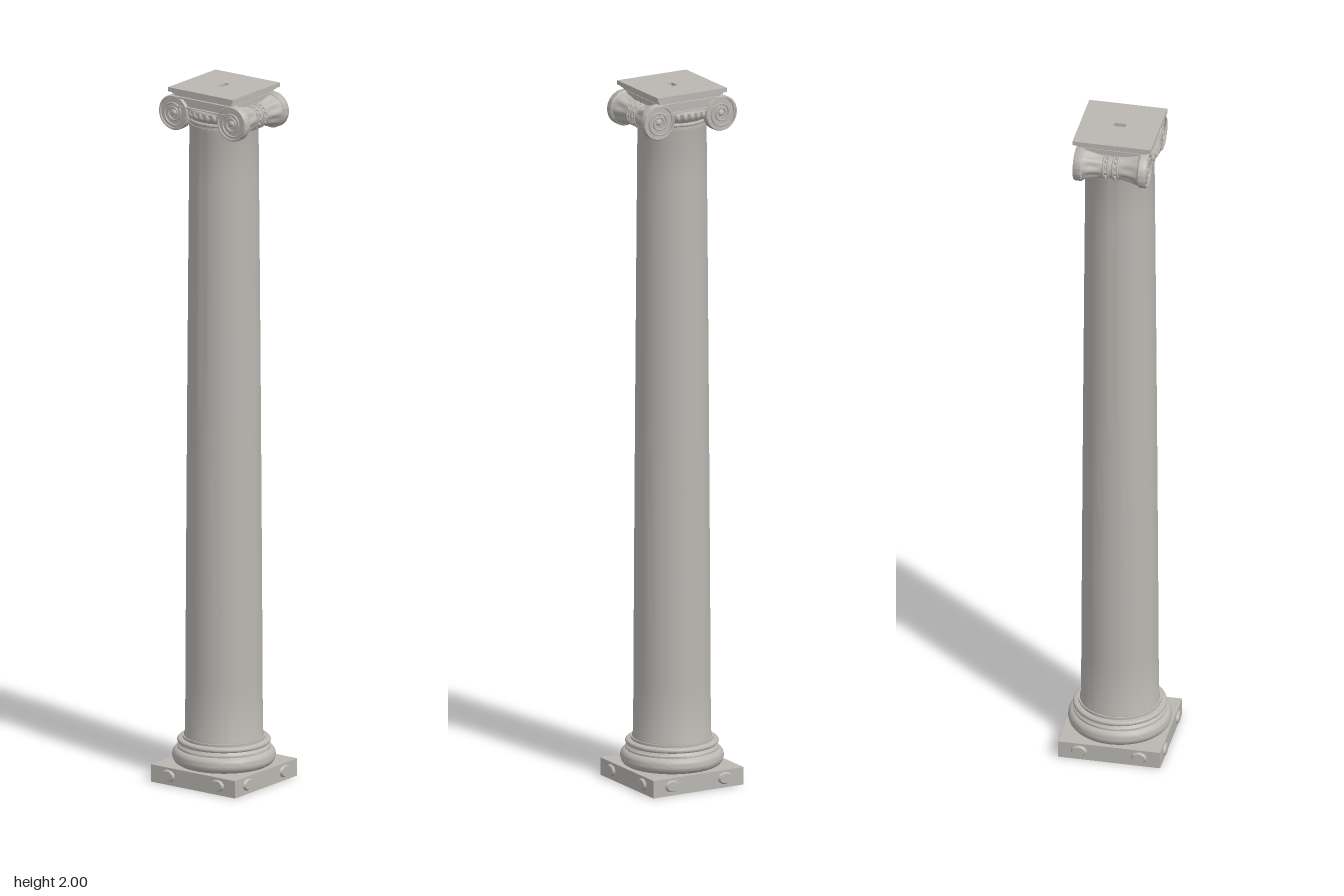
import * as THREE from 'three';
import { toCreasedNormals } from 'three/addons/utils/BufferGeometryUtils.js';

const stone = new THREE.MeshStandardMaterial({ color: 0xbab7b2 });
stone.name = 'stone';

function add(parent, name, geometry, x = 0, y = 0, z = 0) {
  const mesh = new THREE.Mesh(geometry, stone);
  mesh.name = name;
  mesh.position.set(x, y, z);
  parent.add(mesh);
  return mesh;
}

// Turned profile given as [radius, height] pairs, sharp at hard corners
function turned(points, segments = 64) {
  const profile = points.map(([r, h]) => new THREE.Vector2(r, h));
  return toCreasedNormals(new THREE.LatheGeometry(profile, segments), 0.6);
}

// Points of a half-round moulding bulging out to radius r
function torusArc(r, low, high, bulge) {
  const mid = (low + high) / 2, half = (high - low) / 2, points = [];
  for (let i = 0; i <= 10; i++) {
    const a = -Math.PI / 2 + Math.PI * i / 10;
    points.push([r - bulge + Math.cos(a) * bulge, mid + Math.sin(a) * half]);
  }
  return points;
}

function createBase() {
  const base = new THREE.Group();
  base.name = 'base';
  add(base, 'plinth', new THREE.BoxGeometry(0.29, 0.05, 0.29), 0, 0.025);
  add(base, 'baseMouldings', turned([
    [0.001, 0.05], ...torusArc(0.144, 0.05, 0.095, 0.018),
    [0.13, 0.095], [0.13, 0.1], [0.124, 0.104], [0.122, 0.108],
    ...torusArc(0.13, 0.108, 0.122, 0.007), [0.115, 0.122], [0.115, 0.129], [0.001, 0.129],
  ]));
  // Two lifting bosses on each side of the plinth
  for (let side = 0; side < 4; side++) {
    const face = new THREE.Group();
    face.name = 'plinthSide';
    face.rotation.y = side * Math.PI / 2;
    base.add(face);
    for (const x of [-0.085, 0.085]) {
      const boss = add(face, 'boss', new THREE.CylinderGeometry(0.018, 0.023, 0.007, 24), x, 0.027, 0.148);
      boss.rotation.x = Math.PI / 2;
      boss.scale.z = 0.75;
    }
  }
  return base;
}

// Side roll pinched between its two scroll faces, carved with leaves
function bolsterGeometry() {
  const points = [];
  for (let i = 0; i <= 40; i++) {
    const z = -0.082 + 0.164 * i / 40;
    const t = Math.min(1, Math.max(0, (Math.abs(z) - 0.02) / 0.062));
    points.push(new THREE.Vector2(0.033 + 0.014 * t * t, z));
  }
  const geometry = new THREE.LatheGeometry(points, 64);
  const p = geometry.attributes.position;
  for (let i = 0; i < p.count; i++) {
    const t = (Math.abs(p.getY(i)) - 0.02) / 0.062;
    if (t <= 0 || t >= 1) continue;
    const angle = Math.atan2(p.getZ(i), p.getX(i));
    const k = 1 + 0.06 * Math.sin(Math.PI * t) * Math.cos(angle * 8);
    p.setX(i, p.getX(i) * k);
    p.setZ(i, p.getZ(i) * k);
  }
  geometry.computeVertexNormals();
  return geometry;
}

// Raised fillet winding inward to the eye
function spiralGeometry() {
  const points = [];
  for (let i = 0; i <= 72; i++) {
    const t = i / 72, a = Math.PI / 2 - t * Math.PI * 5;
    const r = 0.047 * Math.pow(0.25, t);
    points.push(new THREE.Vector3(r * Math.cos(a), r * Math.sin(a), 0));
  }
  return new THREE.TubeGeometry(new THREE.CatmullRomCurve3(points), 144, 0.0028, 6);
}

function createVolute() {
  const volute = new THREE.Group();
  volute.name = 'volute';
  add(volute, 'bolster', bolsterGeometry()).rotation.x = Math.PI / 2;
  // Bands round the middle of the roll
  for (const z of [-0.02, -0.007, 0.007, 0.02]) add(volute, 'belt', new THREE.TorusGeometry(0.033, 0.0035, 8, 48), 0, 0, z);
  // Beads between the bands
  for (let i = 0; i < 14; i++) {
    const a = i / 14 * Math.PI * 2;
    for (const z of [-0.0135, 0.0135])
      add(volute, 'bead', new THREE.SphereGeometry(0.0042, 8, 6), 0.034 * Math.cos(a), 0.034 * Math.sin(a), z);
  }
  const rim = turned([[0.001, 0.078], [0.046, 0.078], [0.05, 0.082], [0.05, 0.1], [0.048, 0.103], [0.044, 0.103], [0.044, 0.098], [0.001, 0.098]], 48);
  for (const back of [0, 1]) {
    const face = new THREE.Group();
    face.name = 'scrollFace';
    face.rotation.y = back * Math.PI;
    volute.add(face);
    add(face, 'scrollDisc', rim).rotation.x = Math.PI / 2;
    // Mirrored by the half turn, so the scroll still winds outward
    add(face, 'spiral', spiralGeometry(), 0, 0, 0.1);
    add(face, 'eye', new THREE.SphereGeometry(0.009, 16, 10), 0, 0, 0.099).scale.z = 0.6;
  }
  return volute;
}

function createCapital() {
  const capital = new THREE.Group();
  capital.name = 'capital';
  // Echinus swelling out under the scroll channel
  add(capital, 'echinus', turned([
    [0.001, 1.895], [0.096, 1.895], ...torusArc(0.101, 1.902, 1.912, 0.005),
    [0.097, 1.914], [0.103, 1.92], [0.109, 1.93], [0.112, 1.94], [0.11, 1.946], [0.001, 1.946],
  ]));
  // Egg carvings and pointed darts, front and back
  for (const side of [0, Math.PI]) {
    for (let i = -2; i <= 2; i++) {
      const a = side + i * 0.19;
      const egg = add(capital, 'egg', new THREE.SphereGeometry(0.008, 14, 10), 0.107 * Math.sin(a), 1.932, 0.107 * Math.cos(a));
      egg.scale.set(1, 1.45, 1);
      if (i === 2) continue;
      const d = a + 0.095;
      const dart = add(capital, 'dart', new THREE.ConeGeometry(0.003, 0.022, 6), 0.11 * Math.sin(d), 1.931, 0.11 * Math.cos(d));
      dart.rotation.x = Math.PI;
    }
  }
  // Channel block joining the scrolls, with raised fillets
  add(capital, 'channel', new THREE.BoxGeometry(0.2, 0.034, 0.188), 0, 1.959);
  for (const z of [-0.096, 0.096])
    for (const y of [1.946, 1.972]) add(capital, 'channelFillet', new THREE.BoxGeometry(0.2, 0.005, 0.012), 0, y, z);
  for (const s of [-1, 1]) {
    const volute = createVolute();
    volute.position.set(s * 0.1, 1.926, 0);
    // Half turn makes the right scroll a twin of the left
    if (s < 0) volute.rotation.y = Math.PI;
    capital.add(volute);
  }
  // Abacus: stepped square slab flaring toward the top
  const steps = [[0.196, 1.976, 1.982], [0.206, 1.982, 1.988]];
  for (const [w, low, high] of steps) add(capital, 'abacusStep', new THREE.BoxGeometry(w, high - low, w), 0, (low + high) / 2);
  const square = new THREE.Shape([[-1, -1], [1, -1], [1, 1], [-1, 1]].map(([x, y]) => new THREE.Vector2(x * 0.111, y * 0.111)));
  // Lifting slot cut in the top
  square.holes.push(new THREE.Path([[-1, -1], [-1, 1], [1, 1], [1, -1]].map(([x, y]) => new THREE.Vector2(x * 0.008, y * 0.017))));
  const abacus = add(capital, 'abacus', new THREE.ExtrudeGeometry(square, { depth: 0.012, bevelEnabled: false }), 0, 1.988);
  abacus.rotation.x = -Math.PI / 2;
  return capital;
}

export function createModel() {
  const column = new THREE.Group();
  column.name = 'column';
  column.add(createBase());
  // Shaft with gentle swelling and a flare at each end
  const shaft = [[0.111, 0.127], [0.111, 0.133], [0.108, 0.142]];
  for (let i = 1; i <= 12; i++) {
    const t = i / 12;
    shaft.push([0.108 - 0.0085 * t - 0.0035 * t * t, 0.142 + 1.738 * t]);
  }
  shaft.push([0.098, 1.888], [0.098, 1.897], [0.001, 1.897]);
  add(column, 'shaft', turned(shaft));
  column.add(createCapital());
  return column;
}
